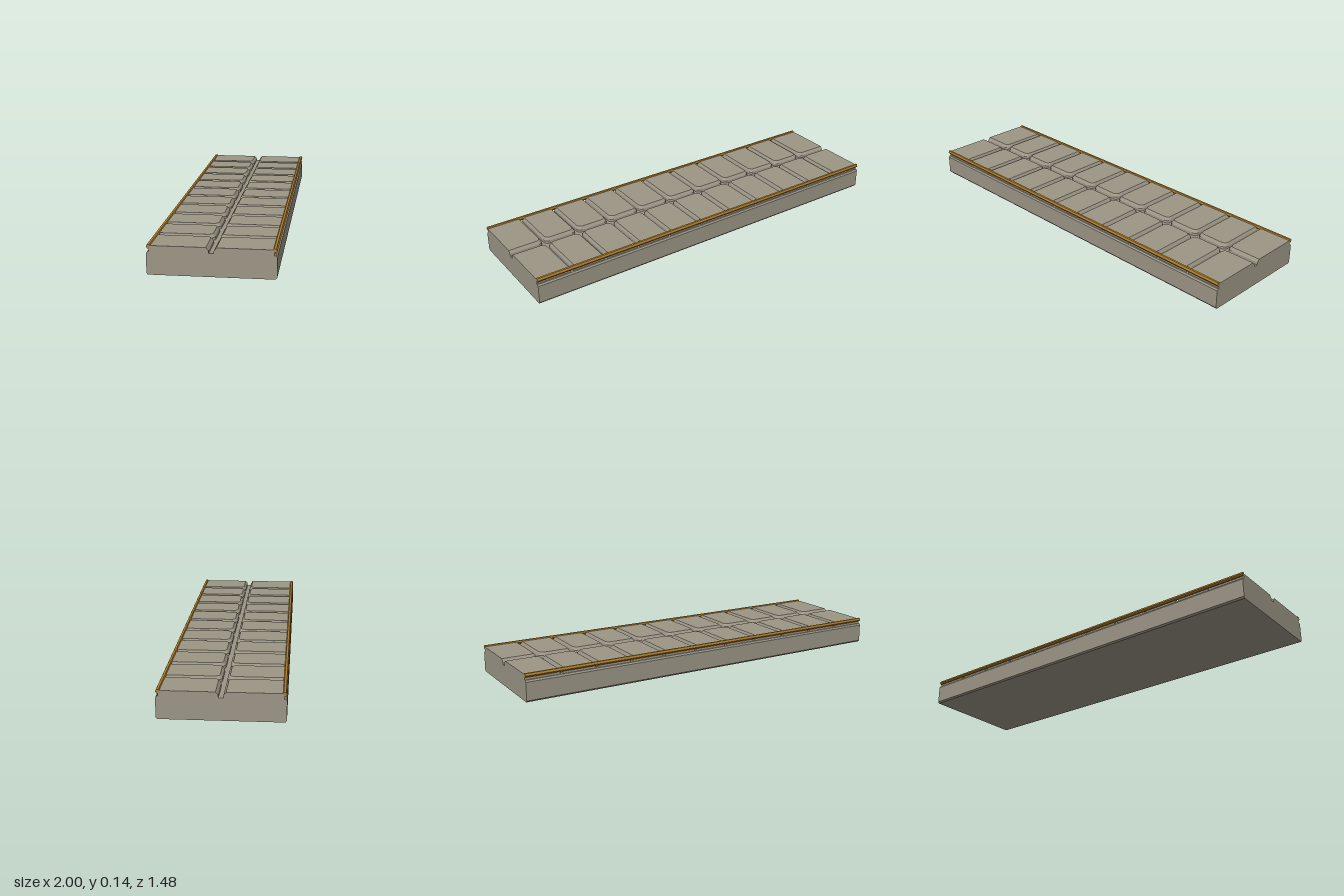
import * as THREE from 'three';
import { ConvexGeometry } from 'three/addons/geometries/ConvexGeometry.js';

const LENGTH = 1.985, WIDTH = 0.56, COLUMNS = 11;
const HALF_L = LENGTH / 2, HALF_W = WIDTH / 2;

const stone = new THREE.MeshStandardMaterial({ color: 0x9c9686, flatShading: true });
const gold = new THREE.MeshStandardMaterial({ color: 0xb07c28, flatShading: true });

// Sweep a (z, y) cross-section along the whole length (local x)
function sweep(profile) {
  const shape = new THREE.Shape(profile.map(([z, y]) => new THREE.Vector2(-z, y)));
  const geo = new THREE.ExtrudeGeometry(shape, { depth: LENGTH, bevelEnabled: false });
  geo.translate(0, 0, -HALF_L);
  geo.rotateY(Math.PI / 2);
  return geo;
}

function addMesh(parent, geo, mat, name) {
  const mesh = new THREE.Mesh(geo, mat);
  mesh.name = name;
  parent.add(mesh);
  return mesh;
}

// One paving tile: bevelled towards its grooves, flush at the slab's ends
function tileGeometry(column, side) {
  const pitch = LENGTH / COLUMNS, gap = 0.006, radius = 0.022;
  const firstEnd = column === 0, lastEnd = column === COLUMNS - 1;
  const left = -HALF_L + column * pitch + (firstEnd ? 0 : gap);
  const right = -HALF_L + (column + 1) * pitch - (lastEnd ? 0 : gap);
  const points = [];
  for (const [y, inset] of [[0.098, 0], [0.116, 0.001], [0.13, 0.009]]) {
    const x0 = left + (firstEnd ? 0 : inset), x1 = right - (lastEnd ? 0 : inset);
    const inner = 0.01 + inset * 1.4, outer = HALF_W - 0.012;
    const add = (x, z) => points.push(new THREE.Vector3(x, y, z * side));
    add(x0, outer);
    add(x1, outer);
    // inner corners, rounded where they meet a groove
    for (const [x, dir, square] of [[x0, 1, firstEnd], [x1, -1, lastEnd]]) {
      if (square) { add(x, inner); continue; }
      for (let i = 0; i <= 4; i++) {
        const a = (i / 4) * Math.PI / 2;
        add(x + dir * radius * (1 - Math.cos(a)), inner + radius * (1 - Math.sin(a)));
      }
    }
  }
  return new ConvexGeometry(points);
}

export function createModel() {
  const model = new THREE.Group();
  model.name = 'pavedWalkway';
  const walkway = new THREE.Group();
  walkway.name = 'walkway';
  walkway.rotation.y = Math.PI / 6;
  model.add(walkway);

  // Base slab with softened long edges
  const half = [[HALF_W - 0.006, 0], [HALF_W, 0.008], [HALF_W, 0.096], [HALF_W - 0.006, 0.104]];
  const slab = [...half, ...half.map(([z, y]) => [-z, y]).reverse()];
  addMesh(walkway, sweep(slab), stone, 'baseSlab');

  // Two rows of tiles and a trim rail along each long edge
  for (const side of [-1, 1]) {
    const row = new THREE.Group();
    row.name = side > 0 ? 'frontTiles' : 'backTiles';
    walkway.add(row);
    for (let c = 0; c < COLUMNS; c++) addMesh(row, tileGeometry(c, side), stone, 'tile');

    const rail = [[0.28, 0.125], [0.275, 0.135], [0.265, 0.135], [0.26, 0.127], [0.266, 0.117], [0.274, 0.117]];
    addMesh(walkway, sweep(rail.map(([z, y]) => [z * side, y])), gold, side > 0 ? 'frontRail' : 'backRail');
  }
  return model;
}
